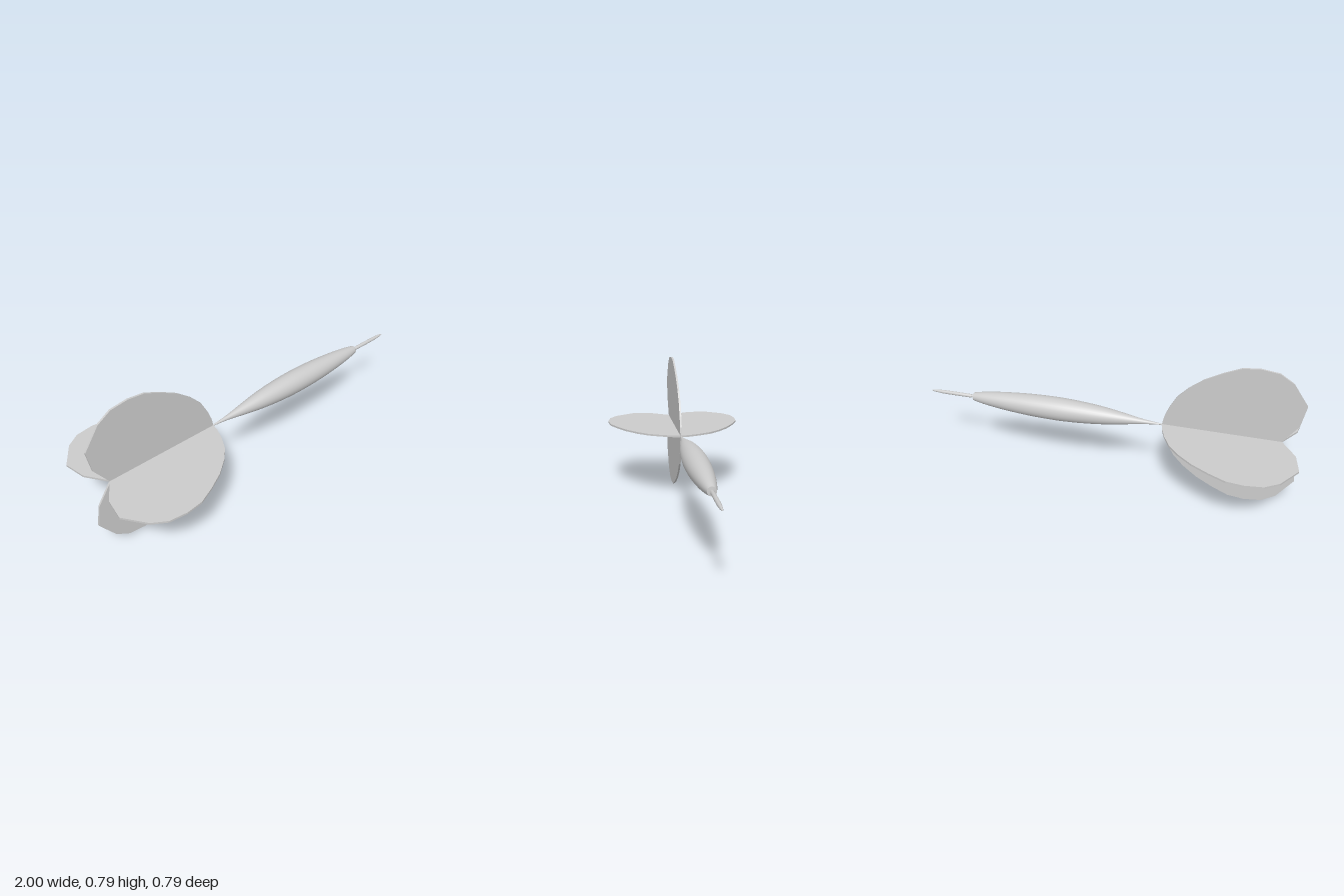
import * as THREE from 'three';

const AXIS_HEIGHT = 0.397;
const FIN_THICKNESS = 0.01;
const vectors = (pairs) => pairs.map(([a, b]) => new THREE.Vector2(a, b));

export function createModel() {
  const dart = new THREE.Group();
  dart.name = 'dart';
  dart.position.y = AXIS_HEIGHT;
  const material = new THREE.MeshStandardMaterial({ color: 0xcccccc });

  const add = (name, geometry) => {
    const mesh = new THREE.Mesh(geometry, material);
    mesh.name = name;
    dart.add(mesh);
    return mesh;
  };

  // Turned part along x from points given as [radius, x]
  const turned = (name, points, sides) =>
    add(name, new THREE.LatheGeometry(points, sides).rotateZ(-Math.PI / 2));

  // Slender barrel, swelling in the middle
  const barrel = new THREE.SplineCurve(vectors([
    [0.003, -0.305], [0.008, -0.25], [0.015, -0.19], [0.03, -0.1], [0.045, 0],
    [0.055, 0.1], [0.061, 0.2], [0.0625, 0.29], [0.06, 0.4], [0.054, 0.5],
    [0.045, 0.6], [0.033, 0.69], [0.022, 0.745],
  ]));
  turned('barrel', barrel.getPoints(48), 32);

  // Flat nose face and the neck holding the needle
  turned('noseFace', vectors([[0.022, 0.745], [0, 0.747]]), 32);
  turned('needleNeck', vectors([[0.007, 0.74], [0.007, 0.765]]), 16);

  // Needle with a rounded, tapering point
  turned('needle', vectors([
    [0, 0.76], [0.01, 0.762], [0.0105, 0.85], [0.01, 0.93],
    [0.007, 0.97], [0.004, 0.99], [0, 1],
  ]), 16);

  // Four flat fins around the shaft
  const outline = new THREE.Shape(vectors([
    [-0.3, 0], [-0.31, 0.05], [-0.333, 0.11], [-0.37, 0.18], [-0.425, 0.24],
    [-0.5, 0.3], [-0.59, 0.35], [-0.675, 0.388], [-0.76, 0.397],
    [-0.85, 0.385], [-0.92, 0.34], [-1, 0.225], [-0.98, 0.11], [-0.905, 0],
  ]));
  const fin = new THREE.ExtrudeGeometry(outline, { depth: FIN_THICKNESS, bevelEnabled: false })
    .translate(0, 0, -FIN_THICKNESS / 2);
  ['topFin', 'frontFin', 'bottomFin', 'backFin'].forEach((name, i) => {
    add(name, fin).rotation.x = i * Math.PI / 2;
  });

  const model = new THREE.Group();
  model.add(dart);
  return model;
}
